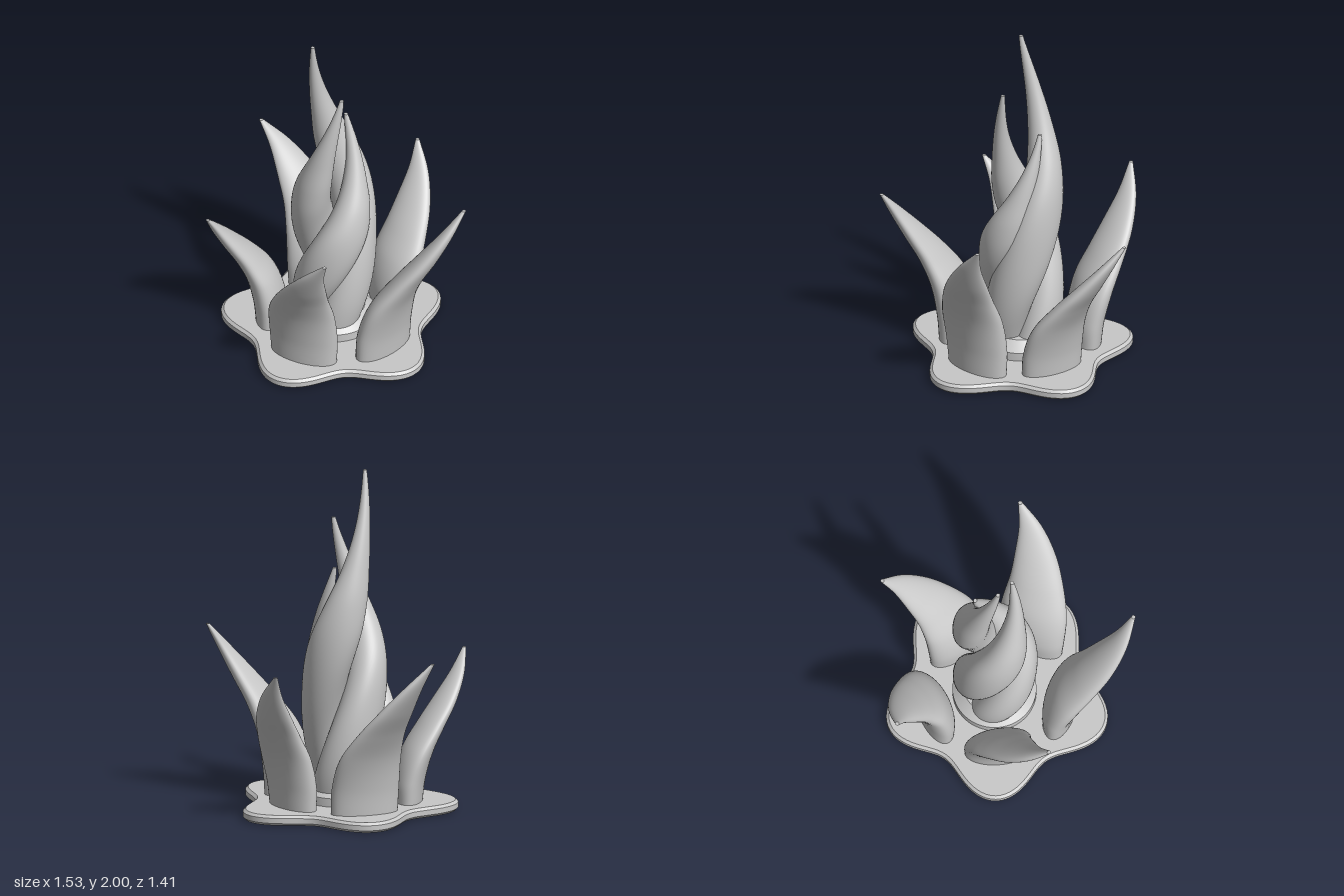
import * as THREE from 'three';
import { toCreasedNormals } from 'three/addons/utils/BufferGeometryUtils.js';

const RAD = Math.PI / 180;

// Smoothly interpolates rows of [key, ...values]
function spline(rows) {
  const size = rows[0].length - 1;
  const it = new THREE.CubicInterpolant(rows.map(r => r[0]), rows.flatMap(r => r.slice(1)), size, new Float32Array(size));
  return t => Array.from(it.evaluate(t));
}

// Skins rings of points point(t, phi), t from 0 to 1, with end caps
function loft(point, steps = 56, sides = 40) {
  const pos = [], idx = [];
  const push = p => pos.push(p.x, p.y, p.z);
  for (let i = 0; i <= steps; i++)
    for (let j = 0; j < sides; j++) push(point(i / steps, j / sides * Math.PI * 2));
  for (let i = 0; i < steps; i++)
    for (let j = 0; j < sides; j++) {
      const k = (j + 1) % sides;
      const a = i * sides + j, b = i * sides + k, c = a + sides, d = b + sides;
      idx.push(a, b, c, b, d, c);
    }
  for (const t of [0, 1]) {
    const first = pos.length / 3;
    const mid = new THREE.Vector3();
    for (let j = 0; j < sides; j++) {
      const p = point(t, j / sides * Math.PI * 2);
      mid.addScaledVector(p, 1 / sides);
      push(p);
    }
    push(mid);
    for (let j = 0; j < sides; j++) {
      const a = first + j, b = first + (j + 1) % sides;
      if (t) idx.push(first + sides, a, b); else idx.push(first + sides, b, a);
    }
  }
  const g = new THREE.BufferGeometry();
  g.setAttribute('position', new THREE.Float32BufferAttribute(pos, 3));
  g.setIndex(idx);
  g.computeVertexNormals();
  return g;
}

// Outer flame: [height, outward shift, sideways shift, half depth, half width, twist]
const outerProfile = spline([
  [0.03, -0.01, 0, 0.092, 0.203, 0],
  [0.22, 0.003, 0.003, 0.1, 0.209, 0.05],
  [0.42, 0.057, 0.017, 0.095, 0.196, 0.15],
  [0.58, 0.138, 0.056, 0.08, 0.16, 0.25],
  [0.73, 0.222, 0.117, 0.065, 0.123, 0.35],
  [0.9, 0.302, 0.204, 0.039, 0.068, 0.44],
  [1.05, 0.348, 0.305, 0.011, 0.012, 0.5],
]);

function outerFlameGeometry() {
  return loft((t, phi) => {
    const y = 0.03 + t * 1.02;
    const [u, v, a, b, twist] = outerProfile(y);
    const p = a * Math.cos(phi), q = b * Math.sin(phi);
    const c = Math.cos(twist), s = Math.sin(twist);
    return new THREE.Vector3(u + p * c - q * s, y, -(v + p * s + q * c));
  });
}

// Inner flame: [height fraction, orbit radius, half depth, half width]
const innerProfile = spline([
  [0, 0.09, 0.105, 0.115],
  [0.15, 0.115, 0.118, 0.138],
  [0.35, 0.125, 0.122, 0.153],
  [0.52, 0.13, 0.116, 0.148],
  [0.62, 0.128, 0.099, 0.12],
  [0.73, 0.121, 0.069, 0.079],
  [0.83, 0.12, 0.044, 0.05],
  [1, 0.121, 0.011, 0.012],
]);

// The inner flame winds round the middle as it rises
function innerFlameGeometry(height, tipAngle, turn) {
  const start = 0.1 / height;
  return loft((s, phi) => {
    const t = start + s * (1 - start);
    const [r, a, b] = innerProfile(t);
    const ang = (tipAngle + turn * Math.pow(Math.max(0, 1 - t), 1.15)) * RAD;
    const u = r + a * Math.cos(phi), v = b * Math.sin(phi);
    return new THREE.Vector3(
      u * Math.cos(ang) + v * Math.sin(ang), t * height,
      u * Math.sin(ang) - v * Math.cos(ang));
  }, 72);
}

// Five-lobed plate with bevelled rims, slightly fuller towards the front left
function plateGeometry() {
  const pts = [];
  for (let i = 0; i < 140; i++) {
    const a = i / 140 * Math.PI * 2;
    const r = 0.586 + 0.078 * Math.cos(5 * (a + 3 * RAD)) + 0.016 * Math.cos(a + 35 * RAD);
    pts.push(new THREE.Vector2(r * Math.cos(a), r * Math.sin(a)));
  }
  const g = new THREE.ExtrudeGeometry(new THREE.Shape(pts), {
    depth: 0.03, bevelEnabled: true, bevelSegments: 1,
    bevelThickness: 0.015, bevelSize: 0.016, bevelOffset: -0.016,
  });
  g.translate(0, 0, 0.015).rotateX(-Math.PI / 2);
  return toCreasedNormals(g, 0.45);
}

// Stepped round footing under the inner flames
function footingGeometry() {
  const outline = [[0, 0.05], [0.242, 0.05], [0.242, 0.11], [0.18, 0.165], [0, 0.165]];
  const g = new THREE.LatheGeometry(outline.map(p => new THREE.Vector2(...p)), 64);
  return toCreasedNormals(g.toNonIndexed(), 0.4);
}

export function createModel() {
  const grey = new THREE.MeshStandardMaterial({ color: 0xc8c8c8 });
  grey.name = 'grey';
  const model = new THREE.Group();
  model.name = 'flameOrnament';
  const body = new THREE.Group();
  body.name = 'body';
  body.position.z = 0.045;
  model.add(body);

  const add = (name, geometry, parent = body) => {
    const mesh = new THREE.Mesh(geometry, grey);
    mesh.name = name;
    parent.add(mesh);
    return mesh;
  };

  add('basePlate', plateGeometry());
  add('footing', footingGeometry());

  // Ring of leaning outer flames: [height, distance from the middle, girth, sideways offset]
  const outer = outerFlameGeometry();
  [
    [1.05, 0.4, 1, 0], [1.02, 0.4, 1, 0], [0.89, 0.374, 0.92, 0.005],
    [0.99, 0.376, 0.98, 0], [0.92, 0.362, 0.94, 0.016],
  ].forEach(([height, distance, girth, offset], i) => {
    const arm = new THREE.Group();
    arm.name = 'outerFlame' + (i + 1);
    arm.rotation.y = -72 * i * RAD;
    body.add(arm);
    const mesh = add('outerFlameBlade', outer, arm);
    mesh.position.set(distance, 0, offset);
    mesh.scale.set(girth, height / 1.05, girth);
  });

  // Three entwined inner flames: [height, tip angle, turn]
  [[2, 137, 280], [1.7, 24, 268], [1.45, 261, 280]].forEach(([height, angle, turn], i) =>
    add('innerFlame' + (i + 1), innerFlameGeometry(height, angle, turn)));

  return model;
}
